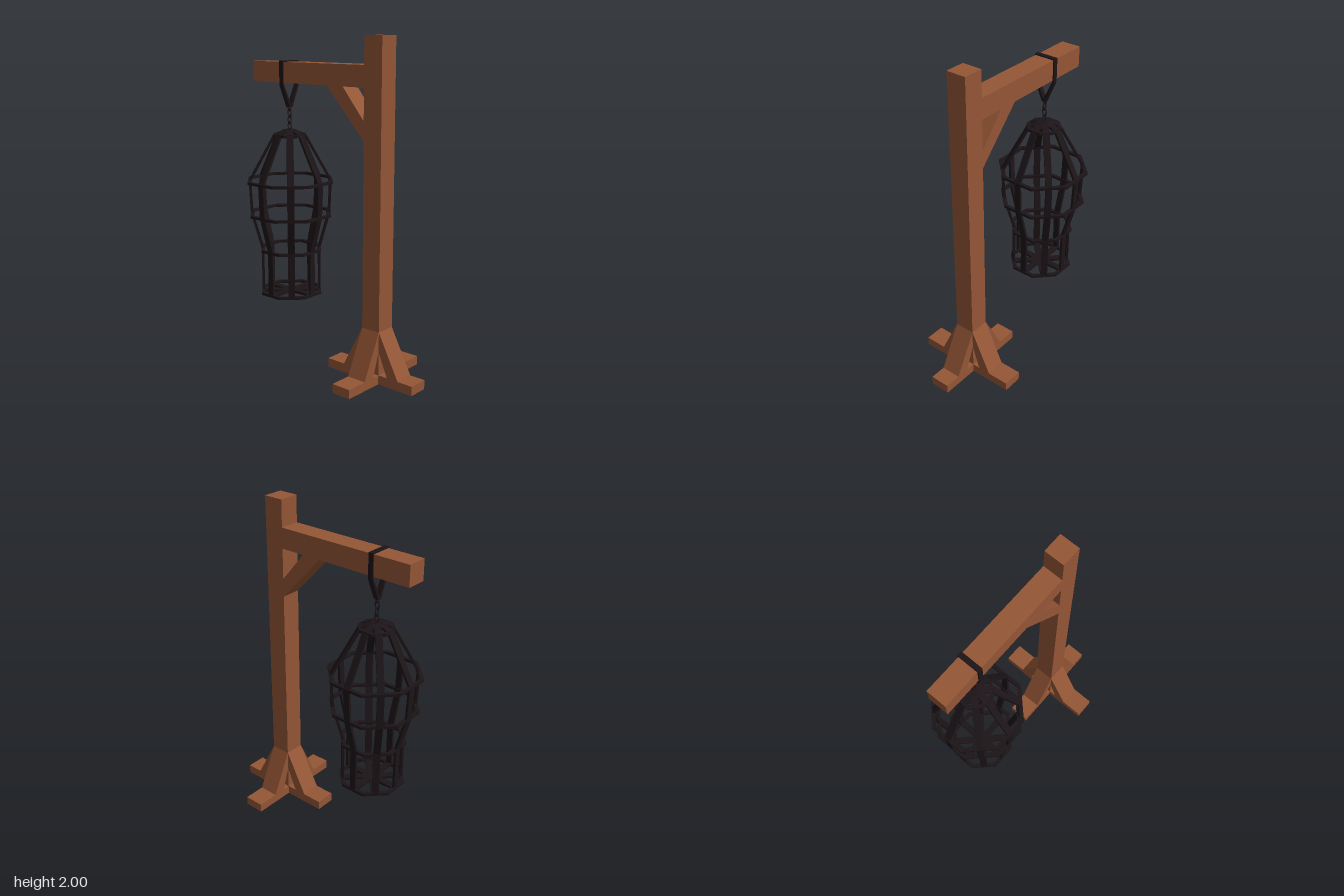
import * as THREE from 'three';

const wood = new THREE.MeshStandardMaterial({ color: 0x955636, flatShading: true });
const iron = new THREE.MeshStandardMaterial({ color: 0x1c1418, flatShading: true });
const POST_X = 0.327, CAGE_X = -0.37, BEAM = 0.124;

function add(parent, name, geometry, material, x = 0, y = 0, z = 0) {
  const mesh = new THREE.Mesh(geometry, material);
  mesh.name = name;
  mesh.position.set(x, y, z);
  parent.add(mesh);
  return mesh;
}

function polygon(points) {
  return new THREE.Shape(points.map(([x, y]) => new THREE.Vector2(x, y)));
}

// Side outline in x/y, given a thickness centred on z = 0
function slab(shape, depth) {
  return new THREE.ExtrudeGeometry(shape, { depth, bevelEnabled: false }).translate(0, 0, -depth / 2);
}

// Octagon whose flat sides face the axes
function octagon(apothem) {
  const r = apothem / Math.cos(Math.PI / 8);
  return Array.from({ length: 8 }, (_, i) => {
    const a = (i + 0.5) * Math.PI / 4;
    return [r * Math.cos(a), r * Math.sin(a)];
  });
}

function hoop(apothem, width, height) {
  const shape = polygon(octagon(apothem));
  shape.holes.push(polygon(octagon(apothem - width)));
  return slab(shape, height).rotateX(-Math.PI / 2);
}

function createGallows() {
  const g = new THREE.Group();
  g.name = 'woodenStand';
  add(g, 'post', new THREE.BoxGeometry(BEAM, 2, BEAM), wood, POST_X, 1, 0);
  add(g, 'arm', new THREE.BoxGeometry(0.88, BEAM, BEAM), wood, -0.175, 1.777, 0);
  add(g, 'armBrace', slab(polygon([[-0.01, 1.715], [0.265, 1.42], [0.265, 1.53], [0.11, 1.715]]), BEAM), wood);

  // Crossed feet
  add(g, 'footAcross', new THREE.BoxGeometry(0.63, 0.056, BEAM), wood, 0.314, 0.028, 0);
  add(g, 'footAlong', new THREE.BoxGeometry(BEAM, 0.055, 0.65), wood, POST_X, 0.0275, 0);

  // Four sloping foot braces
  for (let i = 0; i < 4; i++) {
    const reach = i % 2 ? 0.188 : 0.202;
    const outline = [[0.062, 0.2], [reach - 0.078, 0.055], [reach, 0.055], [0.062, 0.32]];
    const brace = add(g, 'footBrace', slab(polygon(outline), BEAM), wood, POST_X, 0, 0);
    brace.rotation.y = i * Math.PI / 2;
  }
  return g;
}

function createCage() {
  const g = new THREE.Group();
  g.name = 'cage';
  g.position.x = CAGE_X;

  // Flat bars bent from the crown down and under the floor
  const outer = [[0, 1.432], [0.03, 1.43], [0.1, 1.4], [0.257, 1.115], [0.247, 0.905], [0.184, 0.68], [0.184, 0.395], [0, 0.395]];
  const inner = [[0, 0.41], [0.169, 0.41], [0.169, 0.682], [0.232, 0.907], [0.242, 1.111], [0.09, 1.388], [0.028, 1.415], [0, 1.417]];
  const barGeometry = slab(polygon([...outer, ...inner]), 0.04);
  for (let i = 0; i < 8; i++) {
    add(g, 'cageBar', barGeometry, iron).rotation.y = i * Math.PI / 4;
  }

  // Octagonal hoops, bottom to crown
  for (const [y, r] of [[0.403, 0.186], [0.678, 0.186], [0.903, 0.248], [1.113, 0.26], [1.395, 0.1]]) {
    add(g, 'cageHoop', hoop(r, 0.022, 0.016), iron, 0, y, 0);
  }
  return g;
}

function createHanger() {
  const g = new THREE.Group();
  g.name = 'hanger';
  g.position.x = CAGE_X;

  // Strap around the arm, drawn to a point below it
  const strap = polygon([[-0.069, 1.846], [-0.069, 1.7], [-0.012, 1.565], [0.012, 1.565], [0.069, 1.7], [0.069, 1.846]]);
  strap.holes.push(polygon([[-0.058, 1.836], [0.058, 1.836], [0.058, 1.703], [0, 1.58], [-0.058, 1.703]]));
  add(g, 'strap', slab(strap, 0.03).rotateY(Math.PI / 2), iron);

  // Chain links, alternately turned
  const link = new THREE.TorusGeometry(0.014, 0.0045, 4, 8).scale(1, 1.75, 1);
  for (let i = 0; i < 4; i++) {
    add(g, 'chainLink', link, iron, 0, 1.57 - i * 0.04, 0).rotation.y = i % 2 ? 0 : Math.PI / 2;
  }
  return g;
}

export function createModel() {
  const model = new THREE.Group();
  model.name = 'hangingCage';
  model.add(createGallows(), createCage(), createHanger());
  return model;
}
